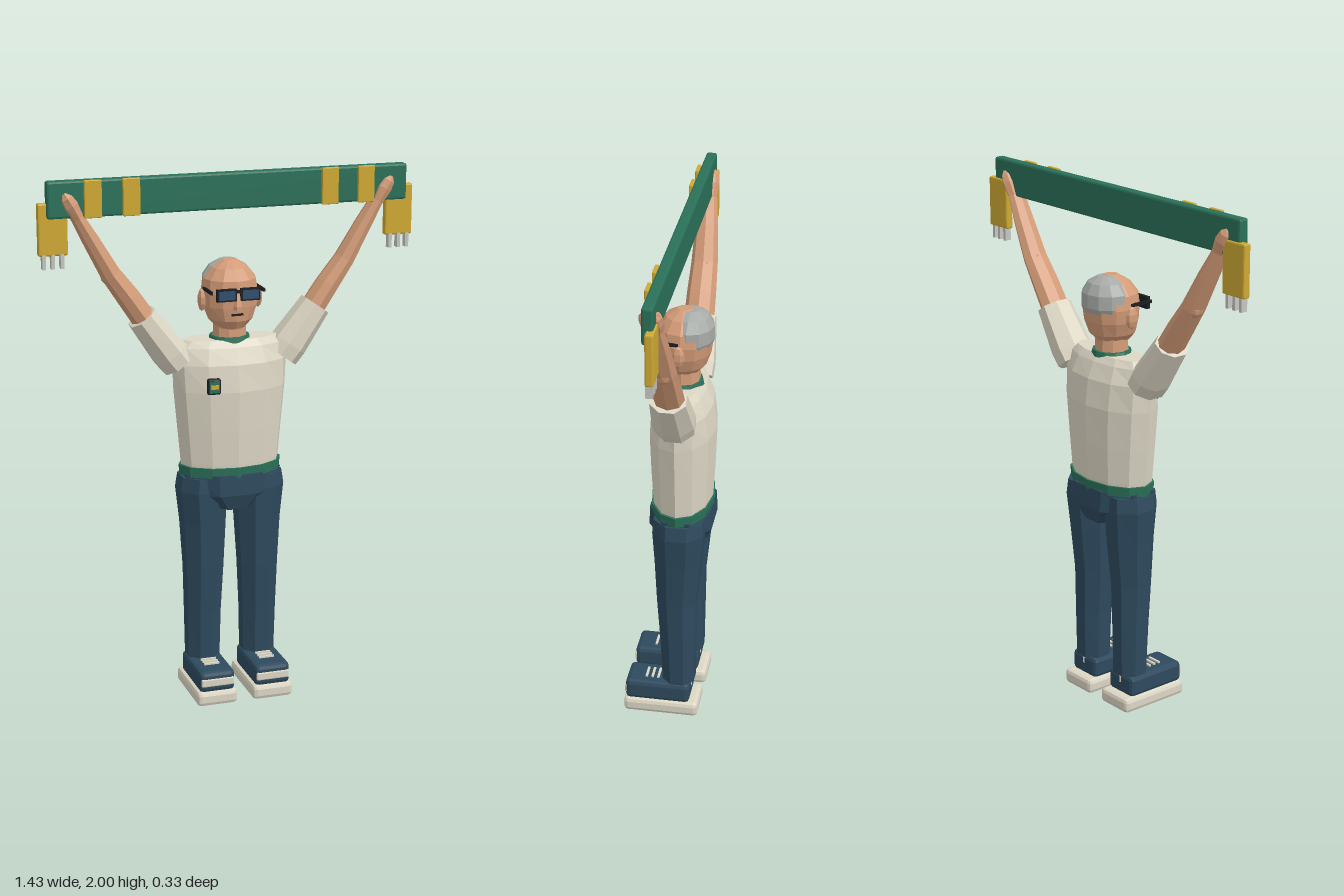
import * as THREE from 'three';
import { RoundedBoxGeometry } from 'three/addons/geometries/RoundedBoxGeometry.js';

const mat = (name, color) => {
  const m = new THREE.MeshStandardMaterial({ color, flatShading: true });
  m.name = name;
  return m;
};

// Skin over elliptical rings [x, y, z, ru, rv]; the rings lean with (dx, dy).
function loft(rings, n, dx = 0, dy = 1, turn = 0) {
  const len = Math.hypot(dx, dy), ux = dy / len, uy = -dx / len;
  const pos = [], idx = [];
  for (const [x, y, z, ru, rv] of rings) {
    for (let i = 0; i < n; i++) {
      const t = ((i + turn) / n) * Math.PI * 2, c = Math.cos(t) * ru;
      pos.push(x + ux * c, y + uy * c, z + Math.sin(t) * rv);
    }
  }
  const last = (rings.length - 1) * n, end = rings.length * n;
  for (const r of [rings[0], rings[rings.length - 1]]) pos.push(r[0], r[1], r[2]);
  for (let i = 0; i < n; i++) {
    const j = (i + 1) % n;
    for (let a = 0; a < last; a += n) {
      idx.push(a + i, a + n + i, a + n + j, a + i, a + n + j, a + j);
    }
    idx.push(end, i, j, end + 1, last + j, last + i);
  }
  const g = new THREE.BufferGeometry();
  g.setAttribute('position', new THREE.Float32BufferAttribute(pos, 3));
  g.setIndex(idx);
  g.computeVertexNormals();
  return g;
}

export function createModel() {
  const root = new THREE.Group();
  root.name = 'fanWithScarf';
  const skin = mat('skin', 0xd49c78), cream = mat('cream', 0xdcd6c4);
  const green = mat('green', 0x2a7058), yellow = mat('yellow', 0xcfa932);
  const navy = mat('navy', 0x2e4a5e), black = mat('black', 0x1c1e22);
  const lens = mat('lensBlue', 0x2f4f70), grey = mat('hairGrey', 0xa6aaa6);
  const tassel = mat('tasselGrey', 0xc6c6c2);

  const add = (name, geo, m, x = 0, y = 0, z = 0) => {
    const mesh = new THREE.Mesh(geo, m);
    mesh.name = name;
    mesh.position.set(x, y, z);
    root.add(mesh);
    return mesh;
  };
  const box = (name, m, w, h, d, x, y, z) => add(name, new THREE.BoxGeometry(w, h, d), m, x, y, z);
  const bevel = (name, m, w, h, d, x, y, z, r) =>
    add(name, new RoundedBoxGeometry(w, h, d, 1, r), m, x, y, z);

  // Shirt, hem and collar
  add('shirt', loft([
    [0, 0.865, -0.04, 0.185, 0.108], [0, 0.92, -0.04, 0.192, 0.113],
    [0, 1.05, -0.04, 0.204, 0.12], [0, 1.2, -0.04, 0.218, 0.125],
    [0, 1.3, -0.04, 0.222, 0.112], [0, 1.36, -0.04, 0.205, 0.085],
    [0, 1.385, -0.04, 0.18, 0.066]], 12), cream);
  add('hem', loft([[0, 0.87, -0.04, 0.198, 0.117], [0, 0.908, -0.04, 0.2, 0.119]], 12), green);
  add('collar', loft([[0, 1.375, -0.04, 0.082, 0.075], [0, 1.395, -0.04, 0.074, 0.07]], 12), green);
  const badge = bevel('badge', black, 0.05, 0.06, 0.02, -0.097, 1.23, 0.077, 0.006);
  badge.rotation.y = -0.1;
  box('badgeField', green, 0.038, 0.046, 0.006, -0.097, 1.23, 0.086);
  box('badgeStripe', yellow, 0.03, 0.016, 0.006, -0.097, 1.23, 0.089);

  // Neck and head
  add('neck', loft([[0, 1.37, -0.04, 0.066, 0.062], [0, 1.46, -0.04, 0.062, 0.06]], 10), skin);
  add('head', loft([
    [0, 1.428, -0.03, 0.052, 0.062], [0, 1.46, -0.035, 0.084, 0.088],
    [0, 1.51, -0.04, 0.103, 0.1], [0, 1.56, -0.042, 0.108, 0.105],
    [0, 1.61, -0.042, 0.1, 0.1], [0, 1.65, -0.042, 0.068, 0.07],
    [0, 1.676, -0.042, 0.025, 0.026]], 12), skin);
  add('hair', loft([
    [0, 1.53, -0.065, 0.086, 0.072], [0, 1.565, -0.063, 0.1, 0.09],
    [0, 1.615, -0.062, 0.097, 0.09], [0, 1.652, -0.065, 0.07, 0.067],
    [0, 1.674, -0.066, 0.03, 0.03]], 12), grey);
  add('nose', loft([[0, 1.508, 0.062, 0.018, 0.018], [0, 1.522, 0.063, 0.018, 0.017],
    [0, 1.57, 0.058, 0.008, 0.008]], 6), skin);
  box('mouth', black, 0.044, 0.008, 0.008, 0, 1.488, 0.055);
  box('glassesBridge', black, 0.03, 0.01, 0.01, 0, 1.577, 0.071);

  // Trousers seat
  add('seat', loft([
    [0, 0.74, -0.04, 0.09, 0.105], [0, 0.8, -0.04, 0.185, 0.128],
    [0, 0.88, -0.04, 0.2, 0.125]], 8, 0, 1, 0.5), navy);

  // Raised scarf
  bevel('scarf', green, 1.366, 0.134, 0.04, 0, 1.932, -0.031, 0.008);

  for (const s of [-1, 1]) {
    // Head details
    add('ear', new THREE.SphereGeometry(1, 7, 5), skin, s * 0.108, 1.532, -0.035)
      .scale.set(0.016, 0.042, 0.026);
    box('glassesFrame', black, 0.074, 0.046, 0.014, s * 0.045, 1.565, 0.066);
    box('lens', lens, 0.06, 0.033, 0.006, s * 0.045, 1.565, 0.074);
    box('glassesArm', black, 0.008, 0.012, 0.1, s * 0.1, 1.575, 0.015);

    // Sleeve, arm and gripping hand
    add('sleeve', loft([
      [s * 0.2, 1.3, -0.042, 0.068, 0.078], [s * 0.232, 1.342, -0.042, 0.07, 0.082],
      [s * 0.336, 1.484, -0.04, 0.058, 0.07]], 8, s * 0.113, 0.155, 0.5), cream);
    add('arm', loft([
      [s * 0.31, 1.45, -0.042, 0.046, 0.058], [s * 0.385, 1.56, -0.042, 0.043, 0.055],
      [s * 0.45, 1.65, -0.042, 0.037, 0.05], [s * 0.52, 1.775, -0.038, 0.031, 0.043],
      [s * 0.575, 1.872, -0.032, 0.024, 0.036]], 8, s * 0.27, 0.43), skin);
    add('elbow', new THREE.IcosahedronGeometry(0.039, 1), skin, s * 0.449, 1.645, -0.044);
    add('hand', loft([
      [s * 0.57, 1.865, -0.031, 0.025, 0.037], [s * 0.595, 1.91, -0.031, 0.032, 0.043],
      [s * 0.612, 1.938, -0.03, 0.026, 0.04], [s * 0.622, 1.954, -0.03, 0.01, 0.026]],
      8, s * 0.5, 0.86), skin);

    // Scarf stripes, end panels and fringe
    for (const x of [0.377, 0.518]) {
      bevel('scarfStripe', yellow, 0.064, 0.136, 0.014, s * x, 1.932, -0.005, 0.003);
    }
    bevel('scarfEnd', yellow, 0.108, 0.19, 0.03, s * 0.66, 1.825, -0.042, 0.006);
    for (const x of [0.628, 0.662, 0.695]) {
      box('fringe', tassel, 0.013, 0.06, 0.026, s * x, 1.712, -0.04);
    }

    // Trouser leg and sock
    add('leg', loft([
      [s * 0.11, 0.135, -0.043, 0.067, 0.066], [s * 0.11, 0.32, -0.04, 0.071, 0.072],
      [s * 0.108, 0.5, -0.035, 0.078, 0.08], [s * 0.108, 0.68, -0.04, 0.088, 0.094],
      [s * 0.112, 0.81, -0.042, 0.098, 0.104], [s * 0.108, 0.865, -0.042, 0.093, 0.1]],
      8, 0, 1, 0.5), navy);
    add('sock', new THREE.CylinderGeometry(0.05, 0.05, 0.05, 8), cream, s * 0.11, 0.125, -0.043);

    // Shoe
    bevel('sole', cream, 0.158, 0.058, 0.29, s * 0.11, 0.029, 0.02, 0.016);
    bevel('shoeUpper', navy, 0.138, 0.082, 0.25, s * 0.11, 0.095, 0.034, 0.016);
    bevel('toeStripe', cream, 0.128, 0.032, 0.02, s * 0.11, 0.094, 0.152, 0.005);
    for (const z of [0.035, 0.058, 0.081]) {
      box('lace', cream, 0.06, 0.009, 0.009, s * 0.11, 0.138, z);
    }
  }
  return root;
}
